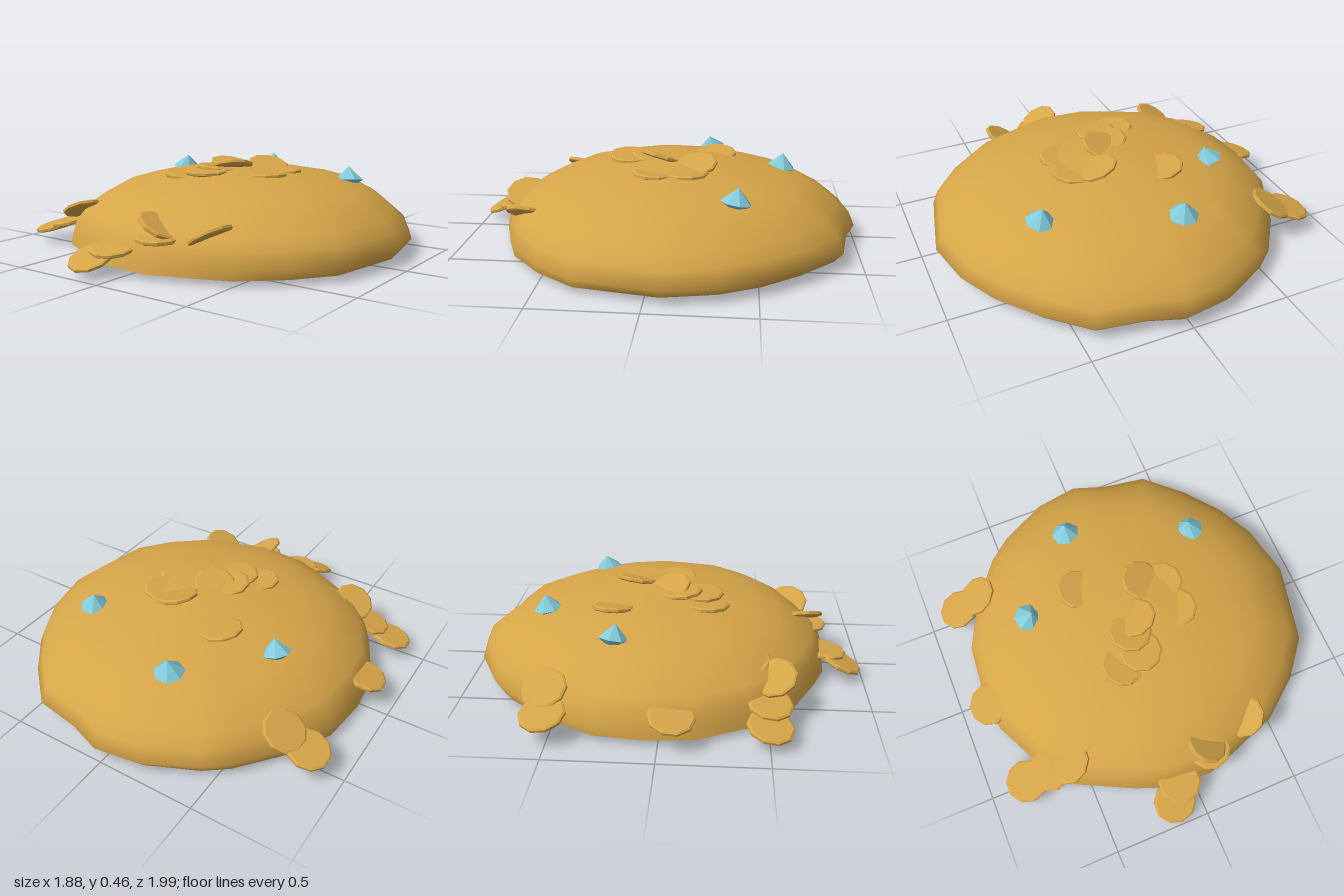
import * as THREE from 'three';

const gold = new THREE.MeshStandardMaterial({ color: 0xd6a548 });
gold.name = 'gold';
const gemBlue = new THREE.MeshStandardMaterial({ color: 0x82cbdb });
gemBlue.name = 'gemBlue';

// Irregular footprint of the heap (x, z), clockwise seen from above
const OUTLINE = [
  [0.03, -1], [0.2, -0.94], [0.44, -0.9], [0.63, -0.72], [0.78, -0.53], [0.88, -0.33],
  [0.935, -0.07], [0.89, 0.15], [0.85, 0.34], [0.7, 0.53], [0.5, 0.69], [0.3, 0.76],
  [0.1, 0.82], [-0.15, 0.8], [-0.3, 0.74], [-0.58, 0.6], [-0.72, 0.42], [-0.84, 0.17],
  [-0.86, -0.05], [-0.84, -0.3], [-0.72, -0.54], [-0.56, -0.75], [-0.45, -0.84], [-0.2, -0.965],
];
const CX = 0.03, CZ = -0.07;

// Heap rings: height, scale at the front left, scale at the back right
const RINGS = [
  [0.025, 1, 0.95], [0.075, 0.99, 1], [0.15, 0.965, 0.965], [0.2, 0.92, 0.9], [0.26, 0.82, 0.82],
  [0.31, 0.72, 0.71], [0.35, 0.57, 0.56], [0.385, 0.37, 0.33], [0.405, 0.15, 0.13], [0.41, 0, 0],
];

function ringPoints([y, front, back]) {
  return OUTLINE.map(([x, z]) => {
    const dx = x - CX, dz = z - CZ;
    const w = THREE.MathUtils.clamp(0.5 + (0.5 * (dx - dz)) / Math.hypot(dx, dz), 0, 1);
    const s = THREE.MathUtils.lerp(front, back, w);
    return [CX + dx * s, y, CZ + dz * s];
  });
}

function smoothGeometry(points, index) {
  const geometry = new THREE.BufferGeometry();
  geometry.setAttribute('position', new THREE.Float32BufferAttribute(points.flat(), 3));
  geometry.setIndex(index);
  geometry.computeVertexNormals();
  return geometry;
}

function heapGeometry() {
  const n = OUTLINE.length, index = [];
  for (let i = 0; i < RINGS.length - 1; i++) {
    for (let j = 0; j < n; j++) {
      const a = i * n + j, b = i * n + ((j + 1) % n);
      index.push(a, a + n, b + n, a, b + n, b);
    }
  }
  return smoothGeometry(RINGS.flatMap(ringPoints), index);
}

function undersideGeometry() {
  const n = OUTLINE.length, index = [];
  const points = [...ringPoints(RINGS[0]), [CX, 0, CZ]];
  for (let j = 0; j < n; j++) index.push(n, j, (j + 1) % n);
  return smoothGeometry(points, index);
}

// Coins: centre, then the direction the face points to
const COINS = [
  // around the rim
  [-0.82, 0.12, -0.52, -0.3, 1, -0.1], [-0.7, 0.18, -0.53, -0.55, 1, -0.2],
  [-0.84, 0.14, 0.06, -0.3, 1, 0.1], [-0.8, 0.08, 0.5, -0.2, 1, 0.15],
  [-0.67, 0.125, 0.5, -0.22, 1, 0.15], [-0.56, 0.2, 0.52, -0.5, 1, -0.25],
  [-0.14, 0.08, 0.89, 0, 1, 0.44], [-0.08, 0.115, 0.81, 0.02, 1, 0.15],
  // stuck in the front slope
  [0.11, 0.225, 0.7, 0.55, 1, -0.1], [0.12, 0.175, 0.72, 0, 1, 0.05],
  [0.35, 0.2, 0.64, -0.6, 1, -0.1], [-0.47, 0.25, 0.4, -0.35, 1, 0.1],
  // around the summit
  [0.01, 0.41, 0, -0.28, 1, -0.28], [0.12, 0.405, -0.18, 0.3, 1, 0.15],
  [-0.03, 0.395, 0.17, 0, 1, 0], [-0.04, 0.402, 0.06, 0.08, 1, -0.1],
  [0.23, 0.38, 0.02, -0.08, 1, -0.04], [0.22, 0.382, -0.14, -0.06, 1, 0.03],
  [-0.2, 0.38, -0.27, 0.2, 1, 0.03], [-0.14, 0.375, 0.2, 0.12, 1, 0],
];

// Gems: centre, then the direction the tip points to
const GEMS = [
  [-0.135, 0.345, -0.62, 0, 1, -0.15],
  [0.49, 0.34, -0.39, -0.1, 1, -0.15],
  [-0.485, 0.35, -0.235, 0.3, 1, 0.15],
];

const UP = new THREE.Vector3(0, 1, 0);
function scatter(name, geometry, material, list) {
  const group = new THREE.Group();
  group.name = name + 's';
  list.forEach(([x, y, z, nx, ny, nz]) => {
    const mesh = new THREE.Mesh(geometry, material);
    mesh.name = name;
    mesh.position.set(x, y, z);
    mesh.quaternion.setFromUnitVectors(UP, new THREE.Vector3(nx, ny, nz).normalize());
    group.add(mesh);
  });
  return group;
}

// Faceted lathe: profile points are radius, height from bottom to top
function faceted(profile, sides) {
  const geometry = new THREE.LatheGeometry(profile.map(([r, y]) => new THREE.Vector2(r, y)), sides).toNonIndexed();
  geometry.computeVertexNormals();
  return geometry;
}

export function createModel() {
  const model = new THREE.Group();
  model.name = 'treasureHeap';

  const heap = new THREE.Mesh(heapGeometry(), gold);
  heap.name = 'heap';
  const underside = new THREE.Mesh(undersideGeometry(), gold);
  underside.name = 'underside';

  // Thin coins with a small bevel, and pointed gems
  const coin = faceted([[0, -0.012], [0.1, -0.012], [0.11, -0.006], [0.11, 0.006], [0.1, 0.012], [0, 0.012]], 10);
  const gem = faceted([[0, -0.06], [0.076, -0.01], [0, 0.063]], 7);

  model.add(heap, underside, scatter('coin', coin, gold, COINS), scatter('gem', gem, gemBlue, GEMS));
  return model;
}
